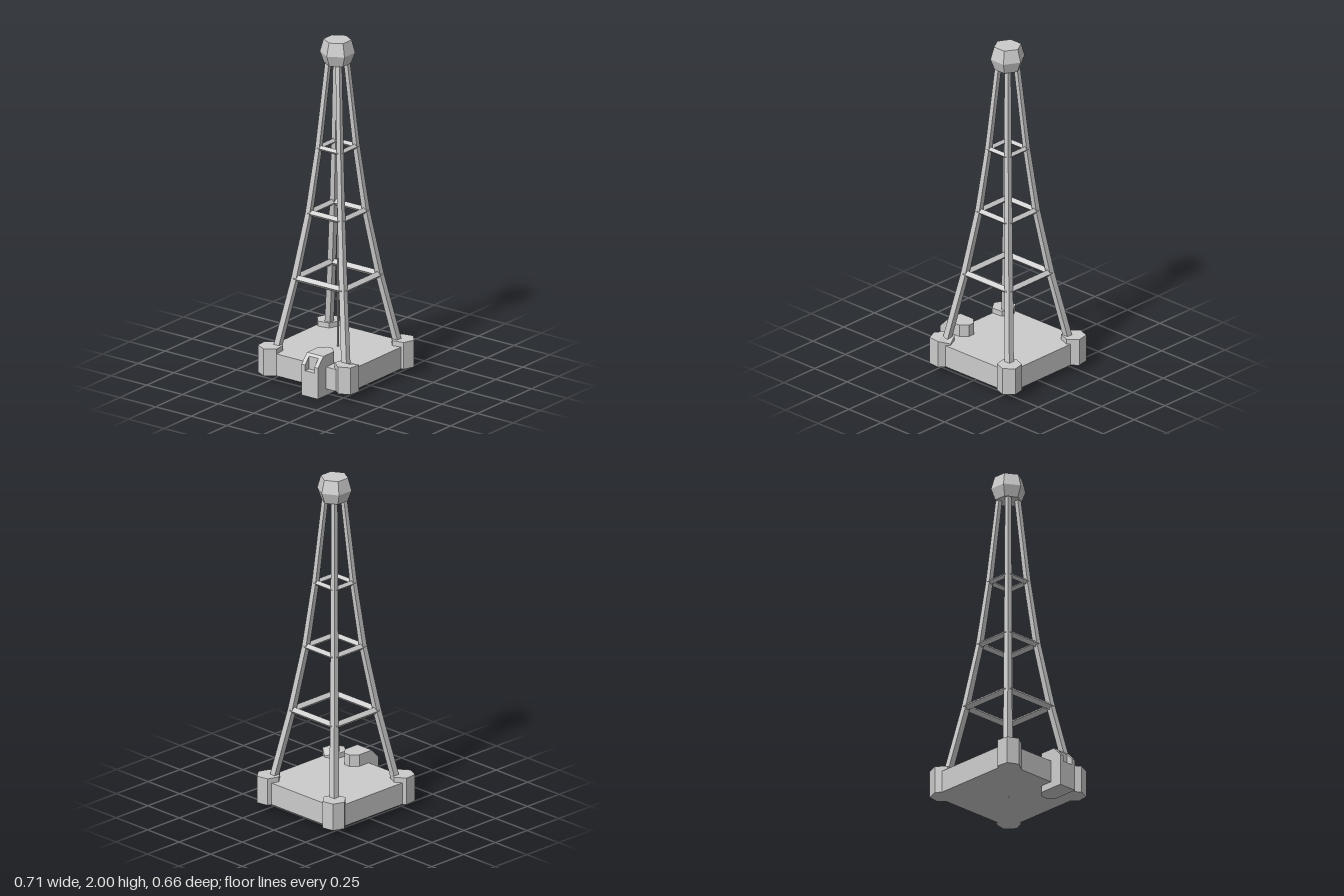
import * as THREE from 'three';

const mat = new THREE.MeshStandardMaterial({ color: 0xcccccc, flatShading: true });
const CX = 0.025; // tower axis

function add(parent, name, geometry, x = 0, y = 0, z = 0) {
  const mesh = new THREE.Mesh(geometry, mat);
  mesh.name = name;
  mesh.position.set(x, y, z);
  parent.add(mesh);
  return mesh;
}

const polygon = (pts) => new THREE.Shape(pts.map(([x, y]) => new THREE.Vector2(x, y)));
const extrude = (pts, depth) => new THREE.ExtrudeGeometry(polygon(pts), { depth, bevelEnabled: false });

// Leg levels: height, distance of the leg from the axis, leg thickness
const levels = [
  [0.15, 0.245, 0.037],
  [0.59, 0.168, 0.035],
  [0.975, 0.113, 0.032],
  [1.36, 0.075, 0.029],
  [1.88, 0.036, 0.026],
];

// Square, bent and tapering leg for the corner (sx, sz)
function legGeometry(sx, sz) {
  const n = levels.length - 1;
  const g = new THREE.BoxGeometry(1, n, 1, 1, n, 1);
  const p = g.attributes.position;
  for (let i = 0; i < p.count; i++) {
    const [y, d, w] = levels[Math.round(p.getY(i) + n / 2)];
    p.setXYZ(i, sx * d + p.getX(i) * w, y, sz * d + p.getZ(i) * w);
  }
  g.computeVertexNormals();
  return g;
}

export function createModel() {
  const model = new THREE.Group();
  model.name = 'latticeTower';

  // Base slab
  add(model, 'base', new THREE.BoxGeometry(0.595, 0.13, 0.595), 0.018, 0.105, -0.0075);

  // Hexagonal corner posts: x, z, turn in degrees
  const posts = [
    [-0.251, -0.261, -5],
    [0.286, -0.261, 20],
    [0.286, 0.26, 19],
    [-0.232, 0.26, 6],
  ];
  posts.forEach(([x, z, turn], i) => {
    const g = new THREE.CylinderGeometry(0.071, 0.071, 0.16, 6, 1, false,
      Math.PI / 2 - THREE.MathUtils.degToRad(turn));
    if (i === 3) { // chipped inner corner
      const p = g.attributes.position;
      for (let k = 0; k < p.count; k++) {
        if (p.getX(k) > 0.065 && p.getY(k) > 0) p.setY(k, 0.058);
      }
    }
    add(model, 'cornerPost', g, x, 0.12, z);
  });

  // Tower: legs, rings of diamond-section braces, centre rod and head
  const tower = new THREE.Group();
  tower.name = 'tower';
  tower.position.x = CX;
  model.add(tower);
  for (const sx of [-1, 1]) {
    for (const sz of [-1, 1]) add(tower, 'leg', legGeometry(sx, sz));
  }

  const braceRadius = [0, 0.021, 0.019, 0.016];
  for (let i = 1; i <= 3; i++) {
    const [y, d] = levels[i];
    const g = new THREE.CylinderGeometry(braceRadius[i], braceRadius[i], 2 * d, 4);
    for (const s of [-1, 1]) {
      add(tower, 'crossBrace', g, 0, y, s * d).rotation.z = Math.PI / 2;
      add(tower, 'sideBrace', g, s * d, y, 0).rotation.x = Math.PI / 2;
    }
  }

  add(tower, 'centreRod', new THREE.CylinderGeometry(0.005, 0.005, 1.84, 6), 0, 0.955, 0.003);

  const headProfile = [[0, 1.86], [0.076, 1.86], [0.1, 1.925], [0.079, 2], [0, 2]];
  add(tower, 'head', new THREE.LatheGeometry(
    headProfile.map(([r, y]) => new THREE.Vector2(r, y)), 6, Math.PI / 2));

  // Side block: chamfered inner body
  const block = new THREE.Group();
  block.name = 'sideBlock';
  model.add(block);
  const body = extrude([
    [-0.304, -0.15], [-0.205, -0.15], [-0.165, -0.111],
    [-0.165, -0.073], [-0.205, -0.035], [-0.304, -0.035],
  ], 0.24);
  body.rotateX(-Math.PI / 2);
  add(block, 'blockBody', body);

  // Sloped outer cheeks with a recess between them
  const cheek = extrude([[-0.355, 0], [-0.304, 0], [-0.304, 0.24], [-0.355, 0.185]], 0.025);
  add(block, 'blockCheek', cheek, 0, 0, 0.035);
  add(block, 'blockCheek', cheek, 0, 0, 0.125);
  add(block, 'blockRecess', extrude([
    [-0.355, 0], [-0.304, 0], [-0.304, 0.24], [-0.317, 0.226], [-0.317, 0.15], [-0.355, 0.15],
  ], 0.065), 0, 0, 0.06);

  return model;
}
